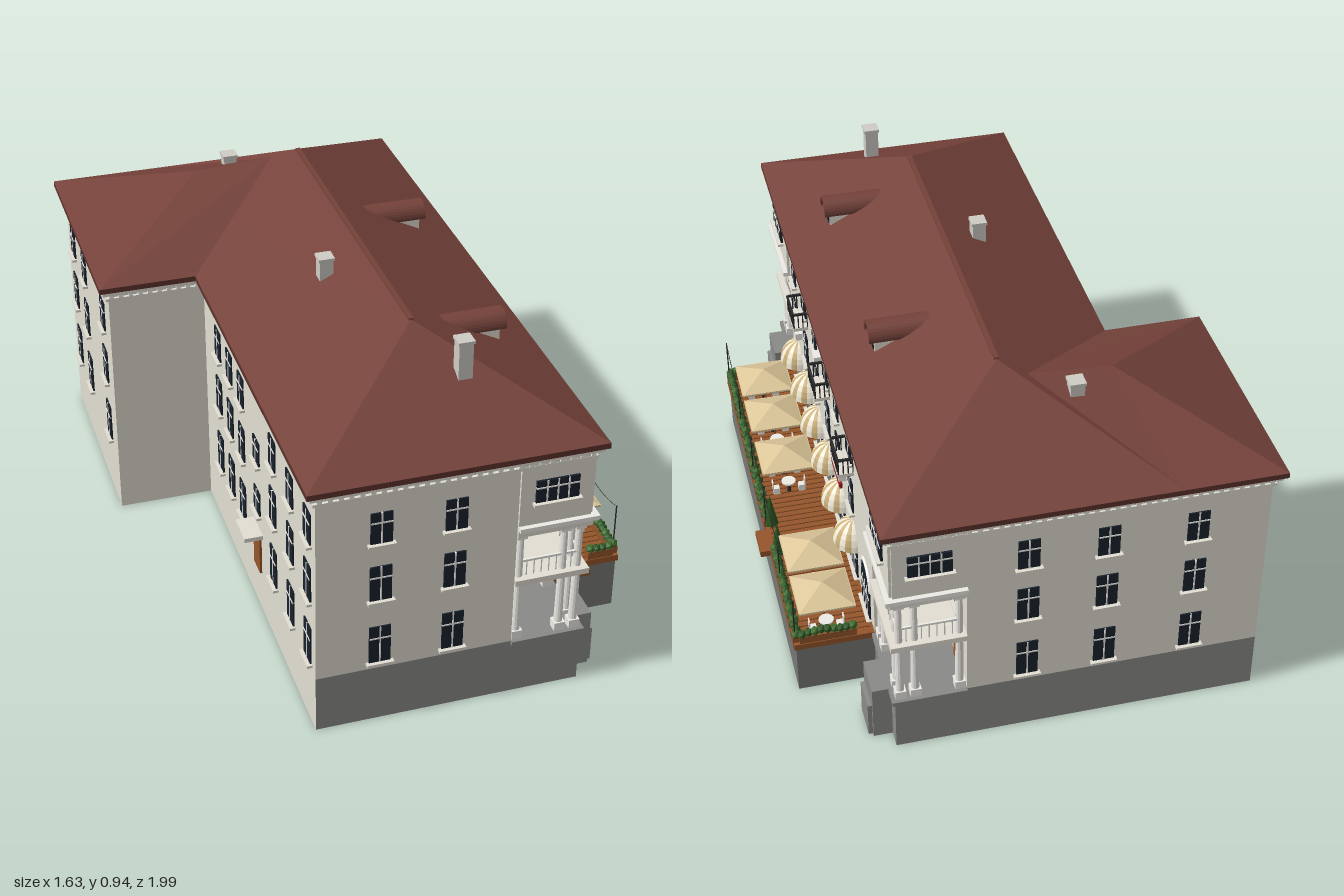
import * as THREE from 'three';

const CREAM = 0xe3dfd3, GREY = 0x8a8a88, ROOF = 0x75423a, GLASS = 0x18222c, WHITE = 0xeeece6,
  WOOD = 0x95562b, GREEN = 0x2c5722, CANVAS = 0xdcc699, DARK = 0x2b2b2b;
const mats = {};
const mat = c => mats[c] ??= new THREE.MeshStandardMaterial({ color: c, side: THREE.DoubleSide, flatShading: true });

function add(parent, name, color, geo, x = 0, y = 0, z = 0) {
  const m = new THREE.Mesh(geo, mat(color));
  m.name = name;
  m.position.set(x, y, z);
  parent.add(m);
  return m;
}
const box = (p, name, c, w, h, d, x, y, z) => add(p, name, c, new THREE.BoxGeometry(w, h, d), x, y, z);
const cyl = (p, name, c, r0, r1, h, n, x, y, z) => add(p, name, c, new THREE.CylinderGeometry(r0, r1, h, n), x, y, z);

function group(parent, name, x = 0, y = 0, z = 0, ry = 0) {
  const g = new THREE.Group();
  g.name = name;
  g.position.set(x, y, z);
  g.rotation.y = ry;
  parent.add(g);
  return g;
}

// flat polygons, each split as a fan
function polys(faces) {
  const v = [];
  for (const f of faces) for (let i = 1; i < f.length - 1; i++) v.push(...f[0], ...f[i], ...f[i + 1]);
  const g = new THREE.BufferGeometry();
  g.setAttribute('position', new THREE.Float32BufferAttribute(v, 3));
  g.computeVertexNormals();
  return g;
}
// upright walls along a plan path
const walls = (path, y0, y1) => polys(path.slice(1).map((b, i) => {
  const a = path[i];
  return [[a[0], y0, a[1]], [b[0], y0, b[1]], [b[0], y1, b[1]], [a[0], y1, a[1]]];
}));
// solid slab over a plan outline, hanging down from its top
const slab = (pts, top, depth) => new THREE.ExtrudeGeometry(
  new THREE.Shape(pts.map(p => new THREE.Vector2(...p))), { depth, bevelEnabled: false }).rotateX(Math.PI / 2).translate(0, top, 0);

// plan outline, grown outward by d
const X0 = -0.898, X1 = 0.775, XW = 0.161, Z0 = 0.384, Z1 = -0.305, Z2 = -0.567;
const plan = d => [[X0 - d, Z1 - d], [X0 - d, Z0 + d], [X1 + d, Z0 + d], [X1 + d, Z2 - d], [XW - d, Z2 - d], [XW - d, Z1 - d]];

function windowUnit(parent, x, y, w, h, bars = 1) {
  const g = group(parent, 'window', x, y);
  box(g, 'pane', GLASS, w, h, 0.008, 0, 0, 0);
  for (let i = 1; i <= bars; i++) box(g, 'mullion', WHITE, 0.004, h, 0.011, -w / 2 + w * i / (bars + 1), 0, 0);
  box(g, 'transom', WHITE, w, 0.004, 0.011, 0, h * 0.18, 0);
  box(g, 'sill', CREAM, w + 0.014, 0.007, 0.02, 0, -h / 2 - 0.003, 0.004);
}
const ROWS = [[0.582, 0.088], [0.42, 0.1], [0.235, 0.108]];
const columnsOfWindows = (face, xs, rows = ROWS) => {
  for (const x of xs) for (const [y, h] of rows) windowUnit(face, x, y, 0.055, h);
};

// posts and handrail along local x
function railing(parent, w, h, x, y, z, ry = 0, color = DARK, n = 9) {
  const g = group(parent, 'railing', x, y, z, ry);
  box(g, 'handrail', color, w, 0.006, 0.006, 0, h, 0);
  for (let i = 0; i < n; i++) box(g, 'baluster', color, 0.003, h, 0.003, -w / 2 + w * i / (n - 1), h / 2, 0);
}

// open two-storey corner with columns and a closed room above; s points outward along x
function loggia(parent, s) {
  const g = group(parent, 'cornerLoggia', s < 0 ? X0 : X1, 0, Z0);
  const W = 0.25, D = 0.185, mid = -s * W / 2;
  for (const [n, c, y, h] of [['loggiaFloor', GREY, 0.155, 0.012], ['balconyFloor', CREAM, 0.342, 0.016], ['loggiaCeiling', CREAM, 0.492, 0.022]])
    box(g, n, c, W + 0.008, h, D + 0.008, mid + s * 0.004, y, -D / 2 + 0.004);
  box(g, 'roomFront', CREAM, W, 0.2, 0.008, mid, 0.6, 0.003);
  box(g, 'roomSide', CREAM, 0.008, 0.2, D, s * 0.003, 0.6, -D / 2);
  box(g, 'stringCourse', WHITE, W + 0.02, 0.012, D + 0.02, mid + s * 0.01, 0.508, -D / 2 + 0.01);
  windowUnit(group(g, 'roomWindowFront', mid, 0, 0.009), 0, 0.61, 0.13, 0.062, 3);
  windowUnit(group(g, 'roomWindowSide', s * 0.009, 0, -D / 2, s * Math.PI / 2), 0, 0.61, 0.11, 0.062, 3);
  for (const [dx, dz] of [[0.016, -0.016], [0.058, -0.016], [0.016, -0.055], [W - 0.018, -0.016], [W - 0.06, -0.016], [0.016, -D + 0.016]]) {
    cyl(g, 'column', WHITE, 0.009, 0.011, 0.3, 12, -s * dx, 0.33, dz);
    box(g, 'capital', WHITE, 0.027, 0.016, 0.027, -s * dx, 0.474, dz);
    box(g, 'plinth', WHITE, 0.028, 0.024, 0.028, -s * dx, 0.173, dz);
  }
  railing(g, W - 0.03, 0.045, mid, 0.35, -0.012, 0, WHITE, 12);
  railing(g, D - 0.03, 0.045, -s * 0.012, 0.35, -D / 2, Math.PI / 2, WHITE, 9);
  box(g, 'door', WOOD, 0.05, 0.115, 0.01, -s * 0.1, 0.22, -D);
  windowUnit(group(g, 'balconyDoor', -s * 0.1, 0, -D), 0, 0.41, 0.05, 0.11);
  const inner = group(g, 'innerWindows', -s * W, 0, -D / 2, s * Math.PI / 2);
  columnsOfWindows(inner, [0], ROWS.slice(1));
  box(g, 'porchBase', GREY, 0.11, 0.16, 0.05, -s * 0.1, 0.08, 0.025);
  box(g, 'porchStep', GREY, 0.09, 0.1, 0.012, -s * 0.1, 0.05, 0.055);
}

// striped quarter dome
function awning(parent, x) {
  const g = group(parent, 'awning', x, 0.262, 0);
  for (let i = 0; i < 10; i++)
    add(g, 'awningStripe', i % 2 ? 0xf0ead8 : 0xc9ae78,
      new THREE.SphereGeometry(0.06, 2, 6, Math.PI * i / 10, Math.PI / 10, 0, Math.PI / 2).scale(1, 1.15, 0.95));
}

function parasolSet(parent, x, z) {
  const g = group(parent, 'parasolTable', x, 0.165, z);
  cyl(g, 'pole', WOOD, 0.003, 0.003, 0.12, 6, 0, 0.06, 0);
  add(g, 'canopy', CANVAS, new THREE.ConeGeometry(0.105, 0.032, 4, 1, true).rotateY(Math.PI / 4), 0, 0.115, 0);
  box(g, 'valance', CANVAS, 0.148, 0.006, 0.148, 0, 0.097, 0);
  for (const s of [-1, 1]) {
    cyl(g, 'tableTop', WHITE, 0.02, 0.02, 0.004, 12, s * 0.04, 0.035, 0);
    cyl(g, 'tableLeg', DARK, 0.003, 0.006, 0.035, 6, s * 0.04, 0.017, 0);
    for (const t of [-1, 1]) {
      box(g, 'chairSeat', WHITE, 0.018, 0.02, 0.018, s * 0.04, 0.01, t * 0.036);
      box(g, 'chairBack', WHITE, 0.018, 0.025, 0.003, s * 0.04, 0.03, t * 0.045);
    }
  }
}

function hedge(parent, x0, z0, x1, z1) {
  const len = Math.hypot(x1 - x0, z1 - z0), n = Math.round(len / 0.016);
  const g = group(parent, 'hedge', (x0 + x1) / 2, 0, (z0 + z1) / 2, Math.atan2(z0 - z1, x1 - x0));
  box(g, 'planter', WOOD, len, 0.04, 0.022, 0, 0.165, 0);
  for (let i = 0; i < n; i++)
    add(g, 'foliage', i % 3 ? GREEN : 0x3d6b2c, new THREE.IcosahedronGeometry(0.0135, 0),
      -len / 2 + len * (i + 0.5) / n, 0.19 + 0.004 * Math.sin(i * 5.3), 0.003 * Math.sin(i * 3.1));
}

function terrace(parent) {
  const g = group(parent, 'terrace');
  box(g, 'terraceBase', 0x777775, 1.17, 0.145, 0.206, -0.065, 0.0725, 0.487);
  box(g, 'deck', WOOD, 1.18, 0.018, 0.212, -0.065, 0.154, 0.489);
  box(g, 'deckEntrance', WOOD, 0.09, 0.018, 0.035, 0.105, 0.154, 0.605);
  box(g, 'deckEnd', WOOD, 0.04, 0.018, 0.1, -0.672, 0.154, 0.45);
  for (let i = 0; i < 58; i++) box(g, 'deckGap', 0x70401f, 0.003, 0.001, 0.19, -0.64 + i * 0.02, 0.1637, 0.487);
  hedge(g, -0.645, 0.585, 0.05, 0.585);
  hedge(g, 0.16, 0.585, 0.515, 0.585);
  hedge(g, 0.512, 0.43, 0.512, 0.58);
  hedge(g, -0.642, 0.51, -0.642, 0.58);
  for (const x of [-0.49, -0.32, -0.125, 0.283, 0.447]) parasolSet(g, x, 0.503);
  for (const x of [0.045, 0.165]) add(g, 'coneShrub', GREEN, new THREE.ConeGeometry(0.02, 0.1, 9), x, 0.22, 0.575);
  // lamp wires on slim posts
  const xs = [-0.63, -0.4, -0.17, 0.05, 0.28, 0.51];
  xs.forEach((x, i) => {
    cyl(g, 'lampPost', DARK, 0.002, 0.002, 0.14, 5, x, 0.235, 0.59);
    if (!i) return;
    const mid = (x + xs[i - 1]) / 2;
    const c = new THREE.QuadraticBezierCurve3(new THREE.Vector3(xs[i - 1], 0.303, 0.59), new THREE.Vector3(mid, 0.265, 0.59), new THREE.Vector3(x, 0.303, 0.59));
    add(g, 'lampWire', DARK, new THREE.TubeGeometry(c, 8, 0.001, 4));
  });
}

function dormer(parent, x) {
  const g = group(parent, 'dormer', x, 0.775, 0);
  const arch = (r, h) => {
    const s = new THREE.Shape();
    s.moveTo(-r, 0).lineTo(-r, h).absarc(0, h, r, Math.PI, 0, true).lineTo(r, 0);
    return s;
  };
  const ext = (s, d) => new THREE.ExtrudeGeometry(s, { depth: d, bevelEnabled: false, curveSegments: 8 });
  add(g, 'dormerBody', CREAM, ext(arch(0.028, 0.05), 0.16), 0, 0, 0.13);
  add(g, 'dormerWindow', GLASS, ext(arch(0.016, 0.04), 0.004), 0, 0.012, 0.288);
  const hood = new THREE.Shape();
  hood.absarc(0, 0, 0.036, -0.2, Math.PI + 0.2).absarc(0, 0, 0.027, Math.PI + 0.2, -0.2, true);
  add(g, 'dormerRoof', ROOF, ext(hood, 0.19), 0, 0.053, 0.115);
}

export function createModel() {
  const root = new THREE.Group();
  root.name = 'building';
  const b = group(root, 'house', 0, 0, 0, 0.933);

  // walls: plinth, two floors notched at the front corners, top floor
  const [A, B, C, D, E, F] = plan(0), y1 = 0.16, y2 = 0.49, zi = Z0 - 0.185;
  add(b, 'plinth', GREY, walls([A, B, C, D], 0, y1));
  add(b, 'backWallFoot', CREAM, walls([D, E, F, A], 0, y1));
  add(b, 'lowerWalls', CREAM, walls([A, [X0, zi], [X0 + 0.25, zi], [X0 + 0.25, Z0], [X1 - 0.25, Z0], [X1 - 0.25, zi], [X1, zi], D, E, F, A], y1, y2));
  add(b, 'upperWalls', CREAM, walls([A, B, C, D, E, F, A], y2, 0.712));

  // cornice with dentils
  add(b, 'corniceUpper', CREAM, slab(plan(0.018), 0.712, 0.014));
  add(b, 'corniceLower', CREAM, slab(plan(0.008), 0.684, 0.008));
  const edge = plan(0.006);
  edge.forEach((p, k) => {
    const q = edge[(k + 1) % 6], n = Math.round(Math.hypot(q[0] - p[0], q[1] - p[1]) / 0.026);
    for (let i = 0; i < n; i++) {
      const t = (i + 0.5) / n;
      box(b, 'dentil', WHITE, 0.012, 0.012, 0.012, p[0] + (q[0] - p[0]) * t, 0.692, p[1] + (q[1] - p[1]) * t);
    }
  });

  // hipped roof with a hipped rear wing
  const e = 0.727, o = plan(0.028), at = i => [o[i][0], e, o[i][1]];
  const [a, bb, c, d, ee, f] = [0, 1, 2, 3, 4, 5].map(at);
  const s = [c[0], e, f[2]], r1 = [-0.55, 0.915, 0.04], r2 = [0.431, 0.915, 0.04], p = [0.468, 0.87, -0.245], q = [0.465, 0.882, -0.03];
  add(b, 'roof', ROOF, polys([[bb, c, r2, r1], [a, bb, r1], [s, a, r1, r2], [c, s, r2], [d, ee, p], [s, d, p, q], [ee, f, q, p]]));
  add(b, 'eaves', 0x5d332d, slab(o, e, 0.015));
  box(b, 'ridgeCap', ROOF, 0.981, 0.008, 0.012, -0.06, 0.914, 0.04);
  for (const x of [-0.475, 0.135]) dormer(b, x);
  for (const [x, z, y0, top] of [[-0.7, 0.12, 0.8, 0.935], [-0.186, -0.067, 0.83, 0.915], [0.52, -0.137, 0.8, 0.885]]) {
    box(b, 'chimney', 0xcfccc4, 0.036, top - y0, 0.036, x, (top + y0) / 2, z);
    box(b, 'chimneyCap', 0xcfccc4, 0.042, 0.008, 0.042, x, top - 0.004, z);
  }

  // street front
  const front = group(b, 'streetFront', 0, 0, Z0);
  const cols = [-0.56, -0.397, -0.23, -0.066, 0.085, 0.262];
  columnsOfWindows(front, cols, ROWS.slice(0, 2));
  for (const i of [1, 3, 5]) {
    box(front, 'balconySlab', CREAM, 0.1, 0.01, 0.042, cols[i], 0.522, 0.021);
    railing(front, 0.096, 0.045, cols[i], 0.527, 0.04);
    for (const t of [-1, 1]) railing(front, 0.038, 0.045, cols[i] + t * 0.048, 0.527, 0.02, Math.PI / 2, DARK, 4);
  }
  for (let i = 0; i < 7; i++) {
    const x = -0.56 + 0.165 * i;
    windowUnit(front, x, 0.215, 0.1, 0.1, 3);
    if (i < 6) { awning(front, x); continue; }
    add(front, 'archTrim', WHITE, new THREE.TorusGeometry(0.055, 0.006, 6, 16, Math.PI), x, 0.265, 0);
    add(front, 'archPane', GLASS, new THREE.CircleGeometry(0.05, 16, 0, Math.PI), x, 0.265, 0.003);
  }
  box(front, 'signBoard', 0xa01820, 0.12, 0.016, 0.008, 0.085, 0.347, 0.008);
  for (const [x, y] of [[-0.15, 0.565], [-0.49, 0.405], [0.17, 0.41]]) box(front, 'airUnit', WHITE, 0.036, 0.022, 0.02, x, y, 0.01);
  loggia(b, -1);
  loggia(b, 1);
  terrace(b);

  // end walls and rear
  columnsOfWindows(group(b, 'leftEnd', X0, 0, 0, -Math.PI / 2), [-0.144, 0.042]);
  columnsOfWindows(group(b, 'rightEnd', X1, 0, 0, Math.PI / 2), [-0.045, 0.156, 0.383]);
  columnsOfWindows(group(b, 'wingBack', 0, 0, Z2, Math.PI), [-0.69, -0.527, -0.26]);
  const back = group(b, 'mainBack', 0, 0, Z1, Math.PI);
  columnsOfWindows(back, [0.836, 0.687, 0.53, 0.227, 0.11, -0.01]);
  columnsOfWindows(back, [0.376], [[0.49, 0.07], [0.335, 0.07]]);
  box(back, 'backDoor', WOOD, 0.06, 0.11, 0.012, 0.376, 0.175, 0);
  box(back, 'doorCanopy', CREAM, 0.09, 0.012, 0.05, 0.376, 0.245, 0.025);
  return root;
}
